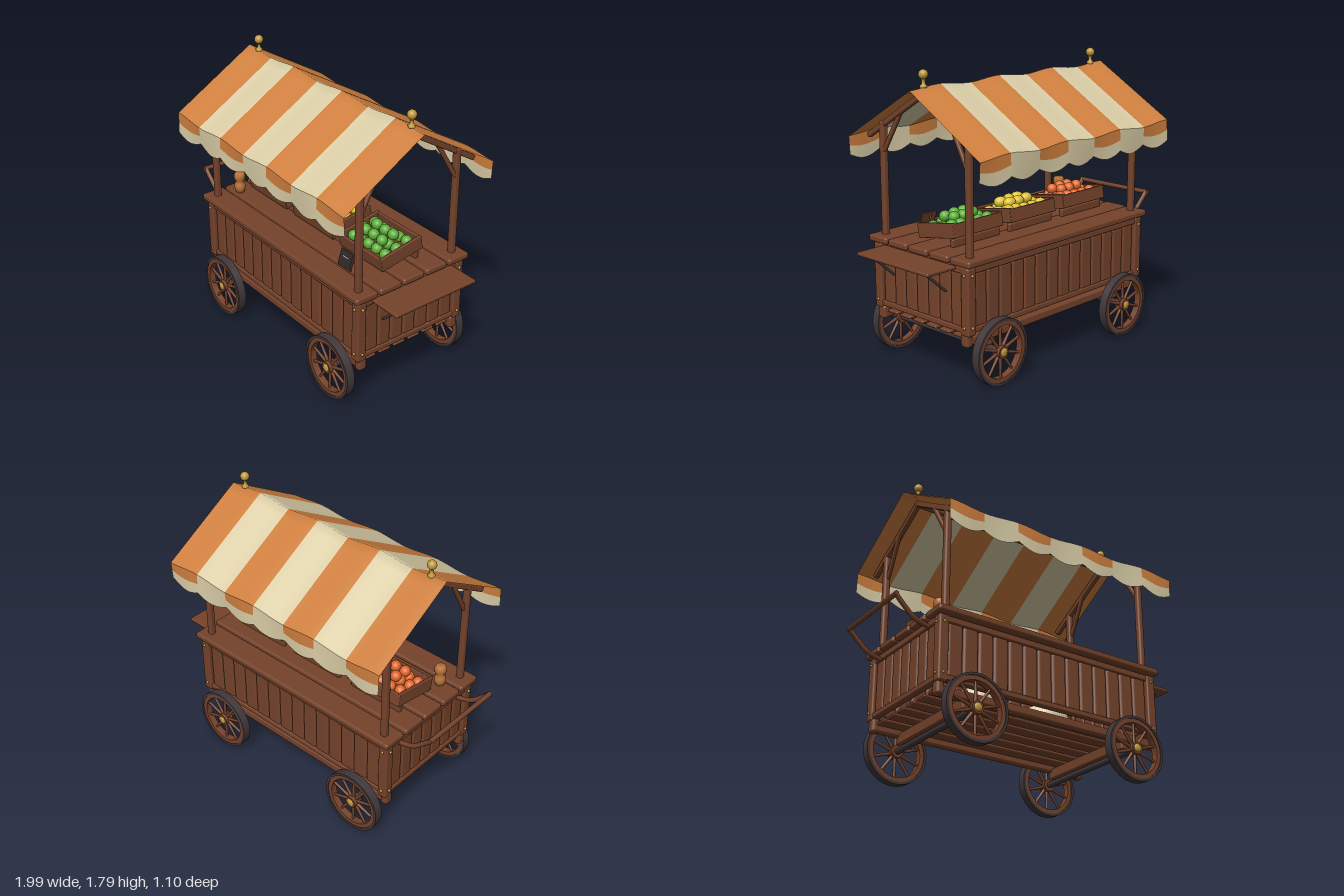
import * as THREE from 'three';
import { mergeGeometries, toCreasedNormals } from 'three/addons/utils/BufferGeometryUtils.js';
import { RoundedBoxGeometry } from 'three/addons/geometries/RoundedBoxGeometry.js';

const mat = (name, color, side = THREE.FrontSide) => {
  const m = new THREE.MeshStandardMaterial({ color, side });
  m.name = name;
  return m;
};

export function createModel() {
  const wood = mat('wood', 0x75432b);
  const iron = mat('iron', 0x40373a);
  const gold = mat('brass', 0xbf983c);
  const orangeCloth = mat('orange cloth', 0xd0803f, THREE.DoubleSide);
  const creamCloth = mat('cream cloth', 0xdccfa8, THREE.DoubleSide);
  const orangePeel = mat('orange peel', 0xe0662a);
  const lemonPeel = mat('lemon peel', 0xdcc030);
  const limePeel = mat('lime peel', 0x5cac38);
  const clay = mat('clay', 0xb87238);
  const slate = mat('slate', 0x2e2a2b);

  const cart = new THREE.Group();
  cart.name = 'marketCart';
  cart.position.x = 0.005;

  const add = (name, geo, material, x = 0, y = 0, z = 0, parent = cart) => {
    const m = new THREE.Mesh(geo, material);
    m.name = name;
    m.position.set(x, y, z);
    parent.add(m);
    return m;
  };
  const box = (name, w, h, d, x, y, z, material = wood, parent = cart, r = 0.008) =>
    add(name, new RoundedBoxGeometry(w, h, d, 2, Math.min(r, w * 0.45, h * 0.45, d * 0.45)), material, x, y, z, parent);
  // Rounded bar running between two points
  const bar = (name, a, b, t, material = wood) => {
    const p = new THREE.Vector3(...a), q = new THREE.Vector3(...b);
    const m = box(name, t, t, p.distanceTo(q), 0, 0, 0, material);
    m.position.copy(p).add(q).multiplyScalar(0.5);
    m.lookAt(q);
    return m;
  };
  const ring = (outer, inner, depth) => {
    const s = new THREE.Shape().absarc(0, 0, outer, 0, Math.PI * 2, false);
    s.holes.push(new THREE.Path().absarc(0, 0, inner, 0, Math.PI * 2, true));
    const g = new THREE.ExtrudeGeometry(s, { depth, bevelEnabled: false, curveSegments: 40 });
    return toCreasedNormals(g.translate(0, 0, -depth / 2), 0.6);
  };
  const sides = [-1, 1];

  // Body: plank walls, rails, corner posts and bolts
  for (const s of sides) {
    for (let i = 0; i < 14; i++)
      box('sidePlank', 0.101, 0.33, 0.04, -0.663 + i * 0.102, 0.53, s * 0.365, wood, cart, 0.018);
    for (let i = 0; i < 7; i++)
      box('endPlank', 0.04, 0.33, 0.095, s * 0.745, 0.53, -0.288 + i * 0.096, wood, cart, 0.018);
    for (const [y, h] of [[0.71, 0.04], [0.36, 0.034]]) {
      box('sideRail', 1.45, h, 0.045, 0, y, s * 0.372);
      box('endRail', 0.045, h, 0.7, s * 0.752, y, 0);
    }
    for (const t of sides) {
      box('cornerPost', 0.064, 0.4, 0.064, s * 0.748, 0.53, t * 0.37, wood, cart, 0.012);
      for (const y of [0.38, 0.685]) {
        add('bolt', new THREE.SphereGeometry(0.009, 10, 8), gold, s * 0.782, y, t * 0.37);
        add('bolt', new THREE.SphereGeometry(0.009, 10, 8), gold, s * 0.748, y, t * 0.403);
      }
    }
  }

  // Counter boards
  for (let i = 0; i < 5; i++)
    box('counterBoard', 1.595, 0.042, 0.158, 0, 0.757, (i - 2) * 0.174, wood, cart, 0.014);

  // Chassis, floor slats and stored sacks
  for (const s of sides) {
    box('chassisBeam', 1.53, 0.055, 0.05, 0, 0.29, s * 0.352, wood, cart, 0.014);
    for (const t of sides) box('chassisEnd', 0.05, 0.085, 0.06, t * 0.75, 0.3, s * 0.355, wood, cart, 0.018);
    box('bolster', 0.07, 0.065, 0.72, s * 0.56, 0.253, 0);
    const sack = add('sack', new THREE.SphereGeometry(1, 24, 16), creamCloth, -0.035 + s * 0.24, 0.42, 0);
    sack.scale.set(0.16, 0.102, 0.18);
  }
  for (let i = 0; i < 6; i++)
    box('floorSlat', 1.5, 0.018, 0.086, 0, 0.308, (i - 2.5) * 0.113);

  // Wheels and axles
  for (const x of [-0.56, 0.56]) {
    const axle = add('axle', new THREE.CylinderGeometry(0.02, 0.02, 0.88, 16), iron, x, 0.2, 0);
    axle.rotation.x = Math.PI / 2;
    for (const s of sides) {
      const wheel = new THREE.Group();
      wheel.name = 'wheel';
      wheel.position.set(x, 0.2, s * 0.432);
      cart.add(wheel);
      add('tyre', ring(0.2, 0.184, 0.054), iron, 0, 0, 0, wheel);
      add('rim', ring(0.185, 0.158, 0.044), wood, 0, 0, 0, wheel);
      for (let i = 0; i < 10; i++) {
        const a = (i / 10) * Math.PI * 2;
        const spoke = add('spoke', new THREE.CylinderGeometry(0.008, 0.011, 0.14, 8), wood,
          -Math.sin(a) * 0.095, Math.cos(a) * 0.095, 0, wheel);
        spoke.rotation.z = a;
      }
      const hub = add('hub', new THREE.CylinderGeometry(0.038, 0.038, 0.06, 20), wood, 0, 0, 0, wheel);
      hub.rotation.x = Math.PI / 2;
      const cap = add('hubCap', new THREE.SphereGeometry(0.027, 16, 12), gold, 0, 0, s * 0.027, wheel);
      cap.scale.z = 0.5;
    }
  }

  // Push handle
  for (const s of sides) {
    const path = new THREE.CatmullRomCurve3([[-0.77, 0.69], [-0.865, 0.72], [-0.935, 0.78], [-0.99, 0.835]]
      .map(([x, y]) => new THREE.Vector3(x, y, s * 0.272)));
    add('handleArm', new THREE.TubeGeometry(path, 16, 0.015, 10), wood);
  }
  const grip = add('handleGrip', new THREE.CylinderGeometry(0.015, 0.015, 0.57, 12), wood, -0.99, 0.835, 0);
  grip.rotation.x = Math.PI / 2;

  // Side shelf with iron struts
  box('shelf', 0.215, 0.022, 0.605, 0.882, 0.72, 0);
  for (const s of sides) bar('shelfStrut', [0.775, 0.565, s * 0.218], [0.95, 0.712, s * 0.218], 0.016, iron);

  // Canopy frame and finials
  const finial = new THREE.LatheGeometry([[0.02, 0], [0.022, 0.012], [0.011, 0.022], [0.011, 0.04], [0.017, 0.05]]
    .map(p => new THREE.Vector2(...p)), 16);
  for (const x of [-0.72, 0.72]) {
    for (const s of sides) {
      box('canopyPost', 0.042, 0.72, 0.042, x, 1.1, s * 0.355, wood, cart, 0.014);
      bar('rafter', [x, 1.65, 0], [x, 1.355, s * 0.49], 0.034);
      bar('brace', [x, 1.28, s * 0.345], [x, 1.53, s * 0.2], 0.026);
    }
    add('finialStem', finial, gold, x, 1.685, 0);
    add('finialBall', new THREE.SphereGeometry(0.028, 20, 14), gold, x, 1.76, 0);
  }
  box('ridgePole', 1.47, 0.034, 0.034, 0, 1.648, 0);

  // Striped canopy cloth with scalloped valances
  const half = 0.825, stripe = (half * 2) / 7, eaveZ = 0.545;
  const wave = x => 0.009 * Math.cos(((x + 0.34) / 0.47) * Math.PI * 2);
  const roof = (x, v) => [x, 1.365 + 0.322 * (1 - Math.abs(v)) + wave(x), v * eaveZ];
  const hem = x => 1.245 - 0.034 * Math.abs(Math.sin(((x + half) / stripe) * Math.PI));
  const sheet = (x0, rows, point) => {
    const cols = 12, pos = [], idx = [];
    for (let r = 0; r <= rows; r++)
      for (let c = 0; c <= cols; c++) pos.push(...point(x0 + (stripe * c) / cols, r / rows));
    for (let r = 0; r < rows; r++)
      for (let c = 0; c < cols; c++) {
        const a = r * (cols + 1) + c, b = a + cols + 1;
        idx.push(a, b, a + 1, b, b + 1, a + 1);
      }
    const g = new THREE.BufferGeometry();
    g.setAttribute('position', new THREE.Float32BufferAttribute(pos, 3));
    g.setIndex(idx);
    g.computeVertexNormals();
    return g;
  };
  const cloth = { orange: [], cream: [] };
  for (let i = 0; i < 7; i++) {
    const x0 = -half + i * stripe, colour = i % 2 ? cloth.cream : cloth.orange;
    colour.push(sheet(x0, 20, (x, t) => roof(x, t * 2 - 1)));
    for (const s of sides) {
      const drop = (from, to) => (x, t) => {
        const u = from + (to - from) * (s > 0 ? t : 1 - t), top = 1.365 + wave(x);
        return [x, top + (hem(x) - top) * u, s * (eaveZ + 0.7 * u * wave(x))];
      };
      colour.push(sheet(x0, 3, drop(0, 0.5)));
      cloth.cream.push(sheet(x0, 3, drop(0.5, 1)));
    }
  }
  add('orangeCanopyStripes', mergeGeometries(cloth.orange), orangeCloth);
  add('creamCanopyStripes', mergeGeometries(cloth.cream), creamCloth);

  // Tilted crates heaped with fruit
  const crate = (x, peel, stretch) => {
    const g = new THREE.Group();
    g.name = 'fruitCrate';
    g.position.set(x, 0.81, -0.025);
    g.rotation.x = 0.17;
    cart.add(g);
    box('crateFloor', 0.38, 0.014, 0.3, 0, 0.01, 0, wood, g);
    for (const s of sides) {
      box('crateSide', 0.39, 0.083, 0.018, 0, 0.042, s * 0.147, wood, g, 0.005);
      box('crateEnd', 0.018, 0.09, 0.31, s * 0.19, 0.045, 0, wood, g, 0.005);
    }
    const layer = (nx, nz, y, shift) => {
      for (let i = 0; i < nx; i++)
        for (let j = 0; j < nz; j++) {
          const k = i * 3 + j * 5;
          const f = add('fruit', new THREE.SphereGeometry(0.034, 16, 12), peel,
            (i - (nx - 1) / 2) * 0.071 + 0.005 * Math.sin(k * 2.3) + shift,
            y + 0.006 * Math.sin(k * 1.7), (j - (nz - 1) / 2) * 0.082, g);
          f.scale.x = stretch;
          f.rotation.y = 0.5 * Math.sin(k);
        }
    };
    layer(5, 3, 0.062, 0);
    layer(3, 2, 0.108, 0.004);
    box('crateBatten', 0.38, 0.05, 0.03, x, 0.8, -0.14);
  };
  crate(-0.475, orangePeel, 1);
  crate(0, lemonPeel, 1.25);
  crate(0.465, limePeel, 1.05);

  // Clay jar
  const jar = [[0, 0], [0.026, 0], [0.036, 0.03], [0.034, 0.06], [0.022, 0.075], [0.035, 0.092],
    [0.037, 0.12], [0.028, 0.138], [0, 0.138]].map(p => new THREE.Vector2(...p));
  add('jar', new THREE.LatheGeometry(jar, 24), clay, -0.672, 0.778, 0.215);

  // Leaning slate price board
  const board = new THREE.Group();
  board.name = 'priceBoard';
  board.position.set(0.482, 0.832, 0.25);
  board.rotation.x = -0.3;
  cart.add(board);
  box('boardFrame', 0.118, 0.112, 0.012, 0, 0, 0, wood, board, 0.004);
  box('boardFace', 0.104, 0.098, 0.008, 0, 0, 0.005, slate, board, 0.002);
  box('chalkLine', 0.05, 0.006, 0.003, 0, 0.012, 0.0095, creamCloth, board, 0.001);
  bar('boardLeg', [0.482, 0.88, 0.228], [0.482, 0.782, 0.195], 0.012);

  const model = new THREE.Group();
  model.name = 'model';
  model.add(cart);
  return model;
}
